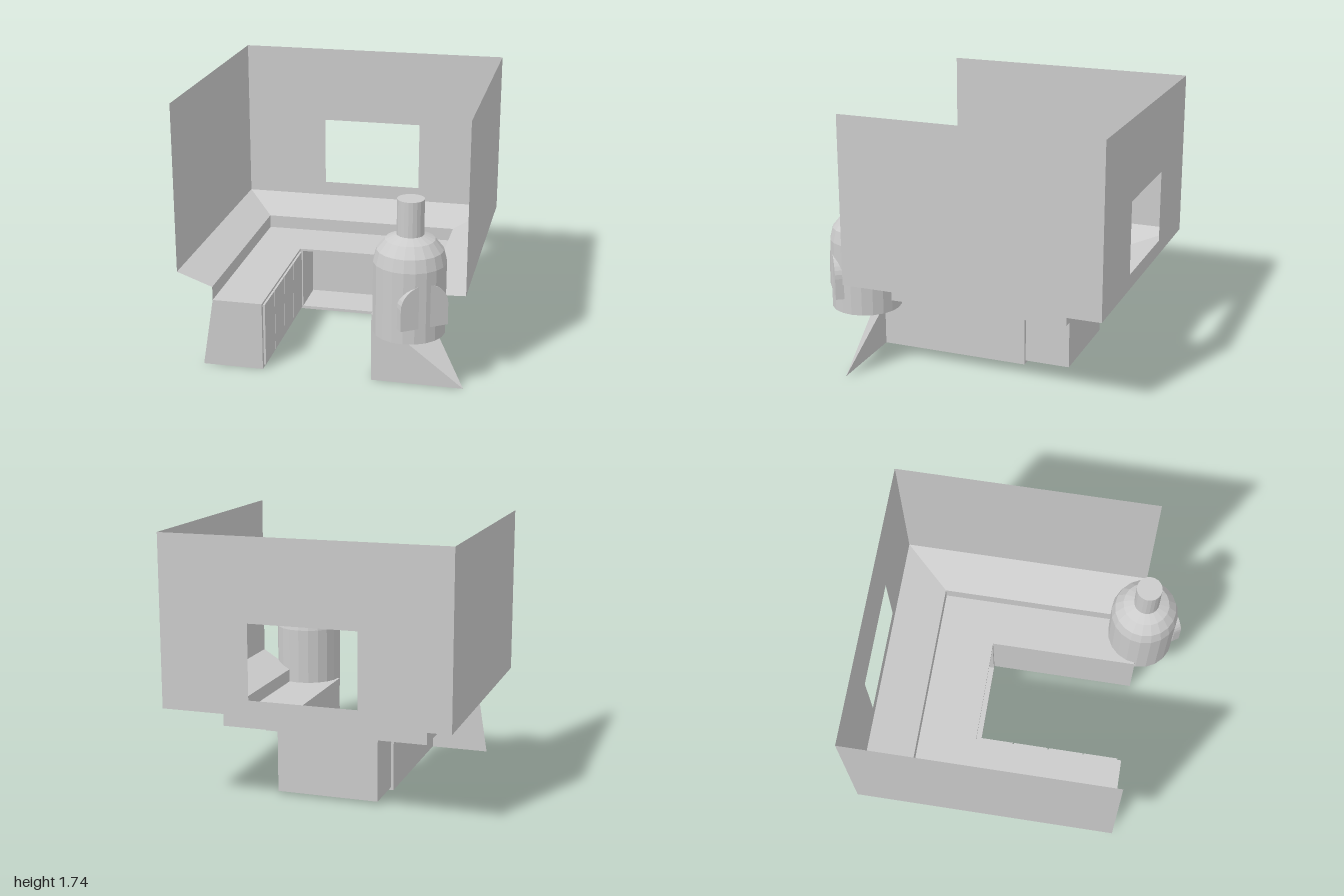
import * as THREE from 'three';

const mat = new THREE.MeshStandardMaterial({ color: 0xcccccc, flatShading: true, side: THREE.DoubleSide });

function part(name, geo, parent, pos = [0, 0, 0]) {
  const m = new THREE.Mesh(geo, mat);
  m.name = name;
  m.position.set(...pos);
  parent.add(m);
  return m;
}

// Skin between two U-shaped outlines, each a list of four [x, y, z] points
function strip(a, b) {
  const pos = [];
  for (let i = 0; i < a.length - 1; i++) {
    pos.push(...a[i], ...b[i], ...b[i + 1], ...a[i], ...b[i + 1], ...a[i + 1]);
  }
  const g = new THREE.BufferGeometry();
  g.setAttribute('position', new THREE.Float32BufferAttribute(pos, 3));
  g.computeVertexNormals();
  return g;
}

// U outline at height y: left x, right x, back z, front z of each arm
const outline = (y, l, r, back, frontL = 0.71, frontR = 0.71) =>
  [[l, y, frontL], [l, y, back], [r, y, back], [r, y, frontR]];

function rectPath(x0, y0, x1, y1, Type = THREE.Shape) {
  return new Type().moveTo(x0, y0).lineTo(x1, y0).lineTo(x1, y1).lineTo(x0, y1).closePath();
}

function panelWithHole(outer, inner) {
  const s = rectPath(...outer);
  s.holes.push(rectPath(...inner, THREE.Path));
  return new THREE.ShapeGeometry(s);
}

export function createModel() {
  const root = new THREE.Group();
  root.name = 'kitchenCorner';

  // Walls, with a window opening in the back
  const walls = new THREE.Group();
  walls.name = 'walls';
  root.add(walls);
  part('backWall', panelWithHole([-0.93, 0.63, 0.93, 1.74], [-0.35, 0.73, 0.35, 1.21]), walls, [0, 0, -1]);
  for (const [name, x] of [['leftWall', 0.93], ['rightWall', -0.93]]) {
    part(name, new THREE.PlaneGeometry(1.71, 1.11).rotateY(Math.PI / 2), walls, [x, 1.185, -0.145]);
  }

  // Sloped ledge, upright splash band, counter top and cabinet faces
  const wallFoot = outline(0.63, -0.93, 0.93, -1);
  const bandTop = outline(0.545, -0.697, 0.655, -0.69, 0.71, 0.537);
  const bandFoot = outline(0.455, -0.697, 0.655, -0.69, 0.71, 0.537);
  const counterEdge = outline(0.455, -0.372, 0.34, -0.3);
  const floorEdge = outline(0, -0.372, 0.34, -0.3);
  part('slopedLedge', strip(wallFoot, bandTop), root);
  part('splashBand', strip(bandTop, bandFoot), root);
  part('counterTop', strip(bandFoot, counterEdge), root);
  part('rightCabinetFace', strip(counterEdge.slice(0, 2), floorEdge.slice(0, 2)), root);
  part('leftCabinetFace', strip(counterEdge.slice(2), floorEdge.slice(2)), root);

  // Flared end panels of the two arms
  part('rightEndPanel', strip([bandFoot[0], counterEdge[0]], [[-0.77, 0, 0.71], floorEdge[0]]), root);
  part('leftEndPanel', strip([counterEdge[3], bandFoot[3]], [floorEdge[3], [0.93, 0, 0.71]]), root);

  // Back cabinet: a framed opening and an open-fronted recess
  part('backCabinetFrame', panelWithHole([-0.372, 0, 0.34, 0.455], [-0.355, 0.02, 0.318, 0.44]), root, [0, 0, -0.3]);
  const rim = z => [[-0.355, 0.02, z], [0.318, 0.02, z], [0.318, 0.44, z], [-0.355, 0.44, z], [-0.355, 0.02, z]];
  part('recessSides', strip(rim(-0.3), rim(-0.6)), root);
  part('recessBack', new THREE.PlaneGeometry(0.673, 0.42), root, [-0.0185, 0.23, -0.6]);

  // Row of cabinet doors
  for (let i = 0; i < 4; i++) {
    part('cabinetDoor', new THREE.BoxGeometry(0.014, 0.42, 0.234), root, [-0.365, 0.23, -0.163 + i * 0.243]);
  }

  // Tank with a domed shoulder and a narrow neck, open underneath
  const tank = new THREE.Group();
  tank.name = 'tank';
  tank.position.set(0.58, 0, 0.72);
  root.add(tank);
  const profile = [[0.228, 0.38], [0.228, 0.84], [0.208, 0.92], [0.155, 0.985], [0.085, 1.015], [0.085, 1.24], [0, 1.24]];
  part('tankBody', new THREE.LatheGeometry(profile.map(p => new THREE.Vector2(...p)), 20), tank);

  // Arched hatch, partly sunk into the tank
  const arch = new THREE.Shape()
    .moveTo(-0.158, 0.48).lineTo(0.158, 0.48).lineTo(0.158, 0.62)
    .absellipse(0, 0.62, 0.158, 0.14, 0, Math.PI, false)
    .lineTo(-0.158, 0.48);
  const hatch = new THREE.ExtrudeGeometry(arch, { depth: 0.055, bevelEnabled: false, curveSegments: 8 });
  part('archedHatch', hatch.translate(0, 0, 0.167), tank).rotation.y = 0.6;

  return root;
}
